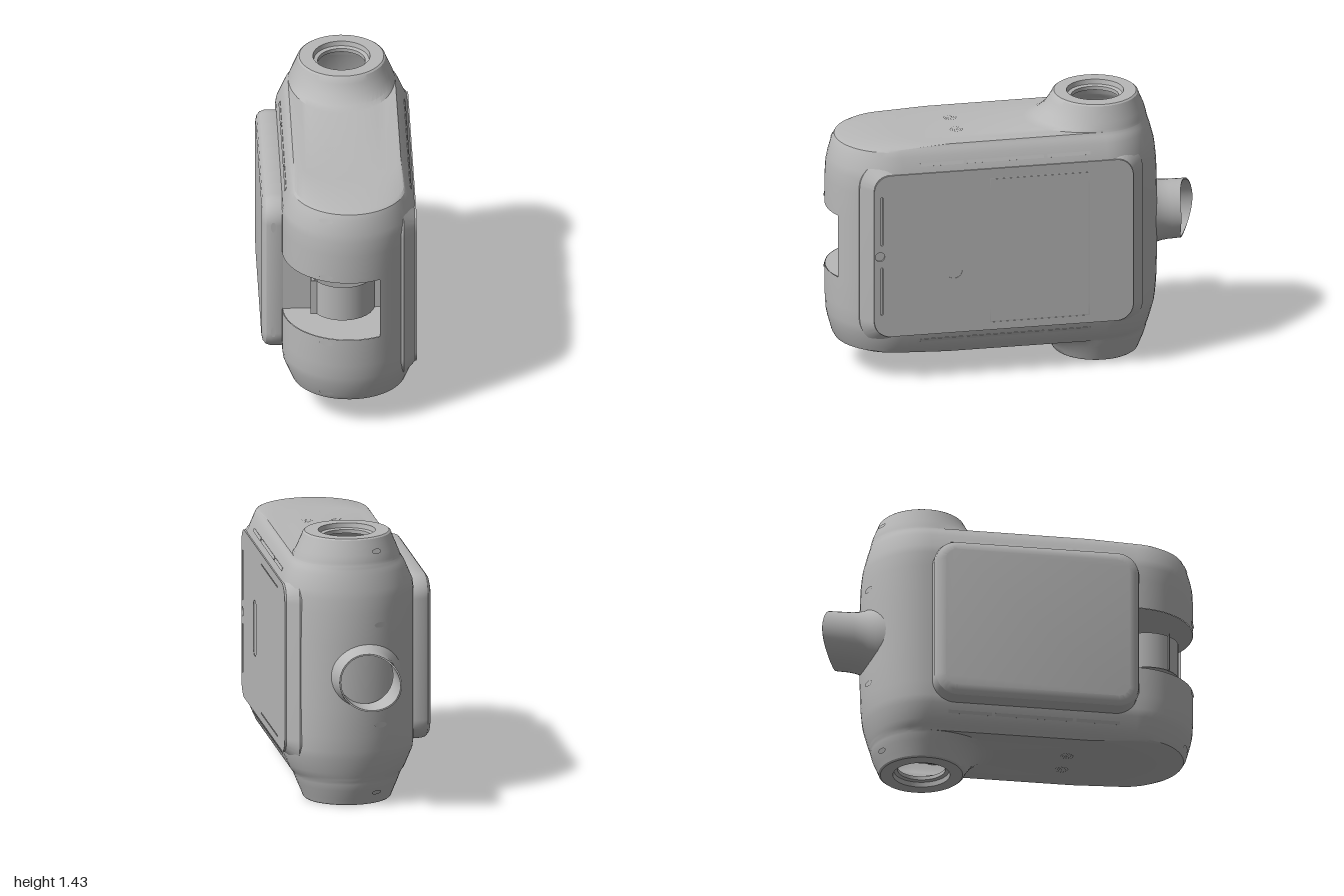
import * as THREE from 'three';
import { toCreasedNormals } from 'three/addons/utils/BufferGeometryUtils.js';

const CX = 0.05, CZ = -0.44, H = 1.435; // column axis and total height

// Joins closed loops of points into one skin; skip(ring, k) leaves a hole
function loft(rings, skip = () => false) {
  const n = rings[0].length, pos = [], idx = [];
  rings.forEach(r => r.forEach(p => pos.push(...p)));
  for (let i = 0; i < rings.length - 1; i++) {
    for (let k = 0; k < n; k++) {
      if (skip(i, k)) continue;
      const a = i * n + k, b = i * n + (k + 1) % n;
      idx.push(a, a + n, b, b, a + n, b + n);
    }
  }
  const g = new THREE.BufferGeometry();
  g.setAttribute('position', new THREE.Float32BufferAttribute(pos, 3));
  g.setIndex(idx);
  return toCreasedNormals(g, 0.45);
}

// Plan outline: rounded front end, straight sides, rounded back around the column
function outline([y, rx, back, zc, front]) {
  const pts = [], F = 28, S = 4, B = 24;
  for (let i = 0; i <= F; i++) {
    const t = Math.PI * i / F;
    pts.push([CX + rx * Math.cos(t), y, zc + front * Math.sin(t)]);
  }
  for (let i = 1; i < S; i++) pts.push([CX - rx, y, zc + (CZ - zc) * i / S]);
  for (let i = 0; i <= B; i++) {
    const t = Math.PI * (1 + i / B);
    pts.push([CX + rx * Math.cos(t), y, CZ + back * Math.sin(t)]);
  }
  for (let i = 1; i < S; i++) pts.push([CX + rx, y, CZ + (zc - CZ) * i / S]);
  return pts;
}

// Rounded rectangle in the side plane, seen from +x (side 1) or -x (side -1)
function roundRect([z0, z1, y0, y1, r], side) {
  const [u0, u1] = side > 0 ? [-z1, -z0] : [z0, z1];
  const s = new THREE.Shape(), q = Math.PI / 2;
  s.moveTo(u0 + r, y0);
  s.lineTo(u1 - r, y0); s.absarc(u1 - r, y0 + r, r, -q, 0);
  s.lineTo(u1, y1 - r); s.absarc(u1 - r, y1 - r, r, 0, q);
  s.lineTo(u0 + r, y1); s.absarc(u0 + r, y1 - r, r, q, 2 * q);
  s.lineTo(u0, y0 + r); s.absarc(u0 + r, y0 + r, r, 2 * q, 3 * q);
  return s;
}

// Panel between distances xIn and xOut from the middle plane, with bevelled edges or cut-outs
function sidePanel(rect, xIn, xOut, side, bevel = [0, 0, 1], holes = []) {
  const s = roundRect(rect, side), [bevT, bevS, bevN] = bevel;
  s.holes = holes.map(h => roundRect(h, side));
  const g = new THREE.ExtrudeGeometry(s, {
    depth: xOut - xIn - 2 * bevT, curveSegments: 8, bevelEnabled: bevT > 0,
    bevelThickness: bevT, bevelSize: bevS, bevelOffset: -bevS, bevelSegments: bevN
  });
  g.translate(0, 0, xIn + bevT);
  g.rotateY(side * Math.PI / 2);
  return toCreasedNormals(g, 0.5);
}

export function createModel() {
  const group = new THREE.Group();
  const grey = new THREE.MeshStandardMaterial({ color: 0xb8b8b8, side: THREE.DoubleSide });
  grey.name = 'shell grey';

  const add = (name, geo, x = 0, y = 0, z = 0) => {
    const m = new THREE.Mesh(geo, grey);
    m.name = name;
    m.position.set(x, y, z);
    group.add(m);
    return m;
  };
  const box = (name, w, h, d, x, y, z) => add(name, new THREE.BoxGeometry(w, h, d), x, y, z);
  // Small oval lying on a surface with the given normal
  const oval = (name, x, y, z, nx, ny, nz, w, h) => {
    const m = add(name, new THREE.CircleGeometry(1, 16), x, y, z);
    m.scale.set(w, h, 1);
    m.lookAt(x + nx, y + ny, z + nz);
  };

  // Main shell, upper half from the middle up: y, half width, back, front centre, front reach
  const half = [
    [0.89, 0.35, 0.325, 0.65, 0.35], [1.05, 0.35, 0.32, 0.65, 0.35],
    [1.13, 0.35, 0.312, 0.65, 0.345], [1.17, 0.345, 0.306, 0.65, 0.337],
    [1.25, 0.311, 0.285, 0.655, 0.31], [1.277, 0.298, 0.276, 0.66, 0.29],
    [1.286, 0.29, 0.273, 0.65, 0.27], [1.30, 0.282, 0.27, 0.40, 0.22],
    [1.302, 0.281, 0.269, CZ, 0.38], [1.315, 0.277, 0.267, CZ, 0.325],
    [1.35, 0.263, 0.257, CZ, 0.275], [1.40, 0.242, 0.236, CZ, 0.24],
    [1.428, 0.231, 0.225, CZ, 0.225], [1.435, 0.222, 0.216, CZ, 0.216],
    [1.435, 0.15, 0.15, CZ, 0.15], [1.41, 0.145, 0.145, CZ, 0.145],
    [1.405, 0.125, 0.125, CZ, 0.125], [1.385, 0.125, 0.125, CZ, 0.125]
  ];
  const lower = half.map(([y, ...r]) => [H - y, ...r]).reverse();
  const mid = half.length - 1;
  add('shell', loft([...lower, ...half].map(outline), (i, k) => i === mid && k >= 10 && k < 28));

  // Front pocket behind the window
  for (const y of [0.545, 0.89]) {
    const g = new THREE.CircleGeometry(0.348, 28, Math.PI, Math.PI);
    g.rotateX(-Math.PI / 2);
    add('pocketShelf', g, CX, y, 0.65);
  }
  box('pocketWall', 0.69, 0.345, 0.01, CX, 0.7175, 0.65);
  add('pocketCup', new THREE.CylinderGeometry(0.17, 0.17, 0.2, 32, 1, true), 0.015, 0.72, 0.75);
  add('pocketCupBase', new THREE.CylinderGeometry(0.168, 0.168, 0.008, 32), 0.015, 0.63, 0.75);
  box('pocketStrip', 0.04, 0.2, 0.006, -0.138, 0.72, 0.845);

  // Back spout with a slanted, scooped mouth
  const spoutRing = (r, z) => Array.from({ length: 40 }, (_, i) => {
    const t = Math.PI * 2 * i / 40, c = Math.cos(t);
    const tip = -0.88 - 0.12 * Math.pow((1 - c) / 2, 1.7);
    return [0.005 + r * c, 0.7175 + r * Math.sin(t), z ?? tip];
  });
  add('spout', loft([
    spoutRing(0.21, -0.64), spoutRing(0.2, -0.68), spoutRing(0.185, -0.72), spoutRing(0.172, -0.755),
    spoutRing(0.162, -0.79), spoutRing(0.158, -0.83), spoutRing(0.156), spoutRing(0.148), spoutRing(0.146, -0.77)
  ]));

  // Flat right face: sloping frame, then a skin with the slots, hole, port and hatch cut out
  add('rightFrame', sidePanel([-0.64, 0.875, 0.2, 1.235, 0.15], 0.22, 0.392, 1, [0.06, 0.065, 1]));
  add('rightSkin', sidePanel([-0.575, 0.81, 0.265, 1.17, 0.09], 0.391, 0.402, 1, undefined, [
    [-0.342, 0.192, 0.308, 1.117, 0.003],
    [0.34, 0.427, 0.57, 0.87, 0.042],
    [0.764, 0.776, 0.39, 0.655, 0.004],
    [0.764, 0.776, 0.78, 1.05, 0.004],
    [0.755, 0.805, 0.6925, 0.7425, 0.0245]
  ]));
  add('hatch', sidePanel([-0.336, 0.186, 0.314, 1.111, 0.003], 0.39, 0.402, 1));
  add('portInset', sidePanel([0.348, 0.419, 0.64, 0.795, 0.004], 0.39, 0.398, 1));

  // Raised left cover with chamfered rim and two front screws
  add('leftCover', sidePanel([-0.44, 0.65, 0.27, 1.165, 0.12], 0.255, 0.405, -1, [0.045, 0.055, 3]));
  for (const y of [0.4, 1.035]) oval('coverScrew', -0.345, y, 0.652, 0, 0, 1, 0.013, 0.03);

  // Long vent strips along the four sloping edges
  for (const s of [1, -1]) for (const v of [1, -1]) {
    for (const [z0, z1] of [[0.33, 0.56], [-0.1, 0.31], [-0.35, -0.12]]) {
      const m = box('ventStrip', 0.006, 0.018, z1 - z0, CX + s * 0.327, 0.7175 + v * 0.4925, (z0 + z1) / 2);
      m.rotation.z = s * v * 0.41;
    }
  }

  // Sound dots in two round clusters on top and bottom
  for (const x of [-0.03, 0.14]) for (const s of [1, -1]) {
    for (let ring = 0; ring < 4; ring++) {
      const count = Math.max(1, ring * 5), r = ring * 0.011;
      for (let i = 0; i < count; i++) {
        const t = Math.PI * 2 * i / count;
        oval('soundDot', x + r * Math.cos(t), 0.7175 + s * 0.587, 0.32 + r * Math.sin(t), 0, s, 0, 0.003, 0.003);
      }
    }
  }

  // Oval screw covers on the front and back
  for (const s of [1, -1]) {
    const y = d => 0.7175 + s * d;
    oval('frontScrew', -0.08, y(0.2), 0.979, -0.37, 0, 0.93, 0.037, 0.015);
    oval('frontScrew', -0.08, y(0.52), 0.943, -0.36, s * 0.35, 0.87, 0.04, 0.014);
    oval('backScrew', -0.08, y(0.27), -0.743, -0.37, 0, -0.93, 0.037, 0.015);
    oval('backScrew', -0.07, y(0.65), -0.67, -0.45, s * 0.4, -0.8, 0.03, 0.014);
  }
  return group;
}
